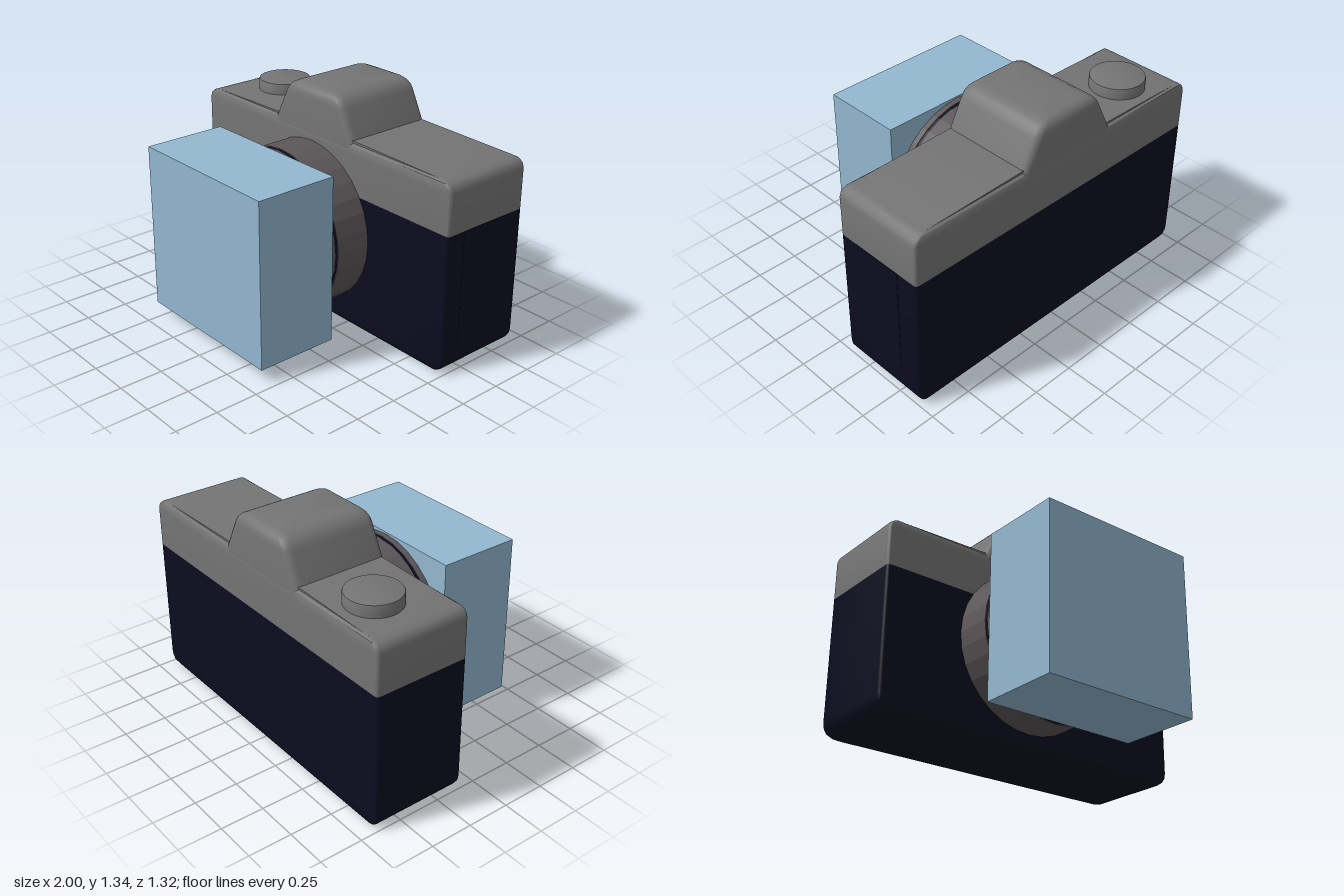
import * as THREE from 'three';
import { toCreasedNormals } from 'three/addons/utils/BufferGeometryUtils.js';

const BODY_Z = -0.3775; // middle of the body's depth
const LENS_X = -0.05, LENS_Y = 0.56;

// Stacks rounded rectangles [y, halfWidth, halfDepth, cornerRadius] into a closed solid
function loft(levels, cx, cz) {
  const pos = [], idx = [], steps = 4, n = 4 * (steps + 1);
  for (const [y, w, d, r] of levels) {
    for (let q = 0; q < 4; q++) {
      const sx = q === 0 || q === 3 ? 1 : -1, sz = q < 2 ? 1 : -1;
      for (let s = 0; s <= steps; s++) {
        const a = (q + s / steps) * Math.PI / 2;
        pos.push(cx + sx * (w - r) + r * Math.cos(a), y, cz + sz * (d - r) + r * Math.sin(a));
      }
    }
  }
  for (let i = 0; i < levels.length - 1; i++) {
    for (let j = 0; j < n; j++) {
      const a = i * n + j, b = i * n + (j + 1) % n;
      idx.push(a, a + n, b, b, a + n, b + n);
    }
  }
  const last = levels.length - 1, bottom = levels.length * n, top = bottom + 1;
  pos.push(cx, levels[0][0], cz, cx, levels[last][0], cz);
  for (let j = 0; j < n; j++) {
    const k = (j + 1) % n;
    idx.push(bottom, j, k, top, last * n + k, last * n + j);
  }
  const geo = new THREE.BufferGeometry();
  geo.setAttribute('position', new THREE.Float32BufferAttribute(pos, 3));
  geo.setIndex(idx);
  return toCreasedNormals(geo, 0.6);
}

export function createModel() {
  const model = new THREE.Group();
  model.name = 'camera';
  const colour = (name, hex) => {
    const m = new THREE.MeshStandardMaterial({ color: hex });
    m.name = name;
    return m;
  };
  const grey = colour('grey casing', 0x747474);
  const navy = colour('dark leather', 0x0c0c20);
  const barrel = colour('lens barrel', 0x5c5658);
  const blue = colour('pale blue', 0x94b8d0);

  const add = (name, geo, mat, x = 0, y = 0, z = 0) => {
    const mesh = new THREE.Mesh(geo, mat);
    mesh.name = name;
    mesh.position.set(x, y, z);
    model.add(mesh);
    return mesh;
  };

  // Dark lower body with rounded bottom corners
  add('lowerBody', loft([
    [0, 0.915, 0.25, 0.02],
    [0.01, 0.95, 0.268, 0.02],
    [0.03, 0.978, 0.28, 0.02],
    [0.055, 0.994, 0.2825, 0.02],
    [0.085, 1, 0.2825, 0.02],
    [0.815, 1, 0.2825, 0.02],
  ], 0, BODY_Z), navy);

  // Grey upper body, its top rising slightly towards the middle
  add('upperBody', loft([
    [0.815, 1, 0.2825, 0.02],
    [1.045, 1, 0.2825, 0.02],
    [1.075, 0.99, 0.2815, 0.02],
    [1.093, 0.968, 0.276, 0.02],
    [1.102, 0.93, 0.262, 0.02],
    [1.115, 0.3, 0.262, 0.02],
  ], 0, BODY_Z), grey);

  // Viewfinder hump
  add('viewfinderHump', loft([
    [1.07, 0.335, 0.2825, 0.04],
    [1.115, 0.315, 0.2825, 0.04],
    [1.27, 0.24, 0.2825, 0.045],
    [1.295, 0.226, 0.28, 0.045],
    [1.317, 0.205, 0.271, 0.045],
    [1.333, 0.175, 0.255, 0.045],
    [1.34, 0.135, 0.232, 0.045],
  ], LENS_X + 0.005, BODY_Z), grey);

  // Shutter button with a softened rim
  const rim = [[0, 0], [0.155, 0], [0.155, 0.07], [0.152, 0.077], [0.144, 0.08], [0, 0.08]]
    .map(([r, y]) => new THREE.Vector2(r, y));
  add('shutterButton', toCreasedNormals(new THREE.LatheGeometry(rim, 40), 0.5),
    grey, -0.685, 1.096, -0.43);

  // Side door
  add('sideDoor', new THREE.BoxGeometry(0.006, 0.65, 0.305), navy, 0.999, 0.488, -0.367);

  // Lens barrel: rear section, dark groove and front ring
  const ring = (name, mat, z0, z1, r0, r1) => {
    const geo = new THREE.CylinderGeometry(r1, r0, z1 - z0, 32);
    geo.rotateX(Math.PI / 2);
    add(name, toCreasedNormals(geo, 0.1), mat, LENS_X, LENS_Y, (z0 + z1) / 2);
  };
  ring('lensBarrel', barrel, -0.12, 0.118, 0.473, 0.471);
  ring('lensGroove', navy, 0.118, 0.138, 0.466, 0.466);
  ring('lensFrontRing', barrel, 0.138, 0.18, 0.47, 0.47);

  // Square block in front of the lens
  add('lensHood', new THREE.BoxGeometry(0.97, 0.965, 0.487), blue, LENS_X, 0.5575, 0.4165);

  return model;
}
